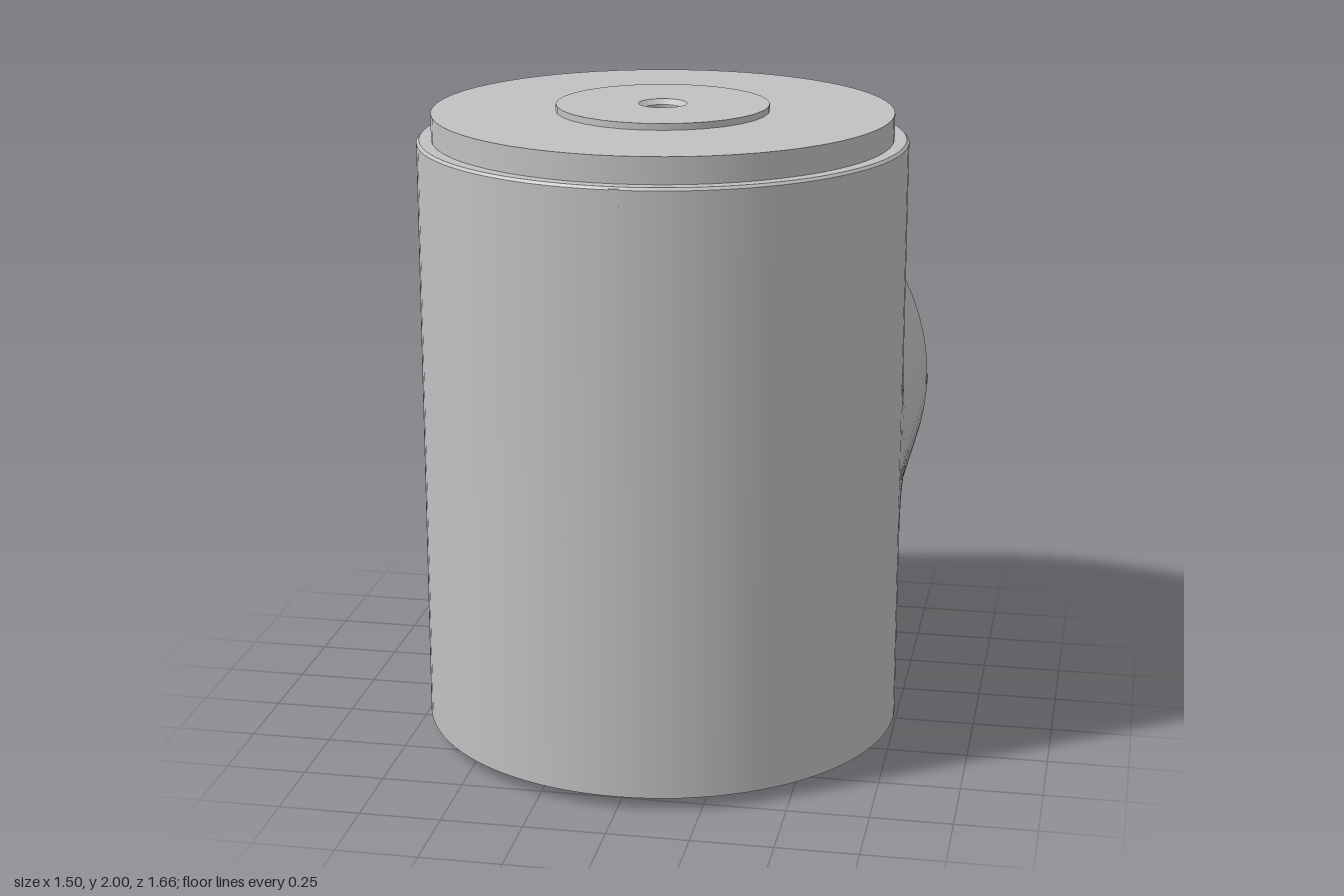
import * as THREE from 'three';
import { mergeGeometries } from 'three/addons/utils/BufferGeometryUtils.js';

const R = 0.75;          // radius of body and branch
const BODY_Z = 0.08;     // body axis
const BRANCH_Y = 0.91;   // branch axis height

// Lathe with a sharp edge at every profile point
function sharpLathe(profile, segments = 96) {
  const bands = [];
  for (let i = 0; i + 1 < profile.length; i++) {
    const pair = [profile[i], profile[i + 1]].map(([r, y]) => new THREE.Vector2(r, y));
    bands.push(new THREE.LatheGeometry(pair, segments));
  }
  return mergeGeometries(bands);
}

// Chamfered base ring, pierced by the screw holes
function baseRing(inner, outer, height, holeRadius, holeDistance) {
  const shape = new THREE.Shape().absarc(0, 0, outer, 0, Math.PI * 2, false);
  shape.holes.push(new THREE.Path().absarc(0, 0, inner, 0, Math.PI * 2, true));
  for (let i = 0; i < 4; i++) {
    const a = Math.PI / 4 + i * Math.PI / 2;
    shape.holes.push(new THREE.Path().absarc(
      Math.cos(a) * holeDistance, Math.sin(a) * holeDistance, holeRadius, 0, Math.PI * 2, true));
  }
  const geo = new THREE.ShapeGeometry(shape, 64);
  geo.rotateX(Math.PI / 2);
  const p = geo.attributes.position, n = geo.attributes.normal;
  const v = new THREE.Vector3();
  for (let i = 0; i < p.count; i++) {
    const x = p.getX(i), z = p.getZ(i), r = Math.hypot(x, z);
    p.setY(i, (r - inner) / (outer - inner) * height);
    v.set(x / r * height, inner - outer, z / r * height).normalize();
    n.setXYZ(i, v.x, v.y, v.z);
  }
  return geo;
}

// Blend between body and branch: narrow at the crown, wide at the flanks
function filletGeometry(sign) {
  const across = 64, along = 10, pos = [], index = [];
  for (let i = 0; i <= across; i++) {
    const t = (i / across - 0.5) * Math.PI;
    const x = R * Math.sin(t), near = R * Math.cos(t), far = 0.24 + 0.72 * near;
    for (let j = 0; j <= along; j++) {
      const s = j / along;
      const y = near + (far - near) * (1 - s) ** 2;
      const z = near + (far - near) * s ** 2;
      pos.push(x, BRANCH_Y + sign * y, BODY_Z - z);
      if (i < across && j < along) {
        const a = i * (along + 1) + j, b = a + 1, c = a + along + 1, d = c + 1;
        if (sign > 0) index.push(a, c, b, b, c, d);
        else index.push(a, b, c, b, d, c);
      }
    }
  }
  const geo = new THREE.BufferGeometry();
  geo.setAttribute('position', new THREE.Float32BufferAttribute(pos, 3));
  geo.setIndex(index);
  geo.computeVertexNormals();
  return geo;
}

// Thin index mark with a rounded lower end, top at the origin, facing +z
function markGeometry(length) {
  const w = 0.015, shape = new THREE.Shape();
  shape.moveTo(w, 0);
  shape.lineTo(-w, 0);
  shape.lineTo(-w, w - length);
  shape.absarc(0, w - length, w, Math.PI, Math.PI * 2, false);
  shape.lineTo(w, 0);
  return new THREE.ExtrudeGeometry(shape, { depth: 0.004, bevelEnabled: false });
}

export function createModel() {
  const model = new THREE.Group();
  const grey = new THREE.MeshStandardMaterial({ color: 0xc0c1c2 });
  grey.name = 'machined grey';
  grey.side = THREE.DoubleSide;

  function add(name, geometry, parent = model) {
    const mesh = new THREE.Mesh(geometry, grey);
    mesh.name = name;
    parent.add(mesh);
    return mesh;
  }

  // Upright body
  const body = new THREE.Group();
  body.name = 'body';
  body.position.z = BODY_Z;
  model.add(body);
  add('bodyWall', sharpLathe([[R, 0.04], [R, 1.892], [0.742, 1.9], [0.69, 1.9]]), body);
  add('baseRing', baseRing(0.59, R, 0.04, 0.055, 0.675), body);
  add('basePlate', sharpLathe([[0, 0], [0.59, 0]]), body);

  // Top cap and raised disc with a central hole
  add('topCap', sharpLathe([[0.705, 1.9], [0.705, 1.98], [0.32, 1.98]], 64), body);
  add('topDisc', sharpLathe([
    [0.326, 1.98], [0.326, 2], [0.074, 2], [0.056, 1.985], [0.056, 1.95], [0, 1.95]], 32), body);

  // Screw wells sunk into the base chamfer
  const well = sharpLathe([[0, 0.06], [0.055, 0.06], [0.055, 0]], 24);
  for (let i = 0; i < 4; i++) {
    const pivot = new THREE.Group();
    pivot.name = 'screwWell' + (i + 1);
    pivot.rotation.y = Math.PI / 4 + i * Math.PI / 2;
    body.add(pivot);
    const mesh = add('well', well, pivot);
    mesh.position.set(0.675, 0.021, 0);
    mesh.rotation.z = Math.atan2(0.04, 0.16);
  }

  // Index marks at the front and back of the upper rim
  for (const side of [0, 1]) {
    const pivot = new THREE.Group();
    pivot.name = side ? 'backMark' : 'frontMark';
    pivot.rotation.y = side * Math.PI;
    body.add(pivot);
    add('mark', markGeometry(0.06), pivot).position.set(0, 1.895, R - 0.002);
  }

  // Rear branch, its axis turned to -z, with a recessed end plate
  const branch = new THREE.Group();
  branch.name = 'branch';
  branch.position.set(0, BRANCH_Y, BODY_Z);
  branch.rotation.x = -Math.PI / 2;
  model.add(branch);
  add('branchWall', sharpLathe([[R, 0], [R, 0.902], [0.742, 0.91], [0.705, 0.91], [0.705, 0.86]]), branch);
  add('endPlate', sharpLathe([[0.705, 0.86], [0, 0.86]]), branch);

  // Index marks on both flanks and the underside of the branch rim
  for (const [name, angle] of [['leftMark', 1], ['rightMark', -1], ['lowerMark', 2]]) {
    const pivot = new THREE.Group();
    pivot.name = name;
    // local +z is the underside or crown after turning, so pick the lower one
    pivot.rotation.y = angle === 2 ? Math.PI : angle * Math.PI / 2;
    branch.add(pivot);
    add('mark', markGeometry(0.05), pivot).position.set(0, 0.905, R - 0.002);
  }

  // Blends above and below the branch
  add('upperFillet', filletGeometry(1));
  add('lowerFillet', filletGeometry(-1));
  return model;
}
